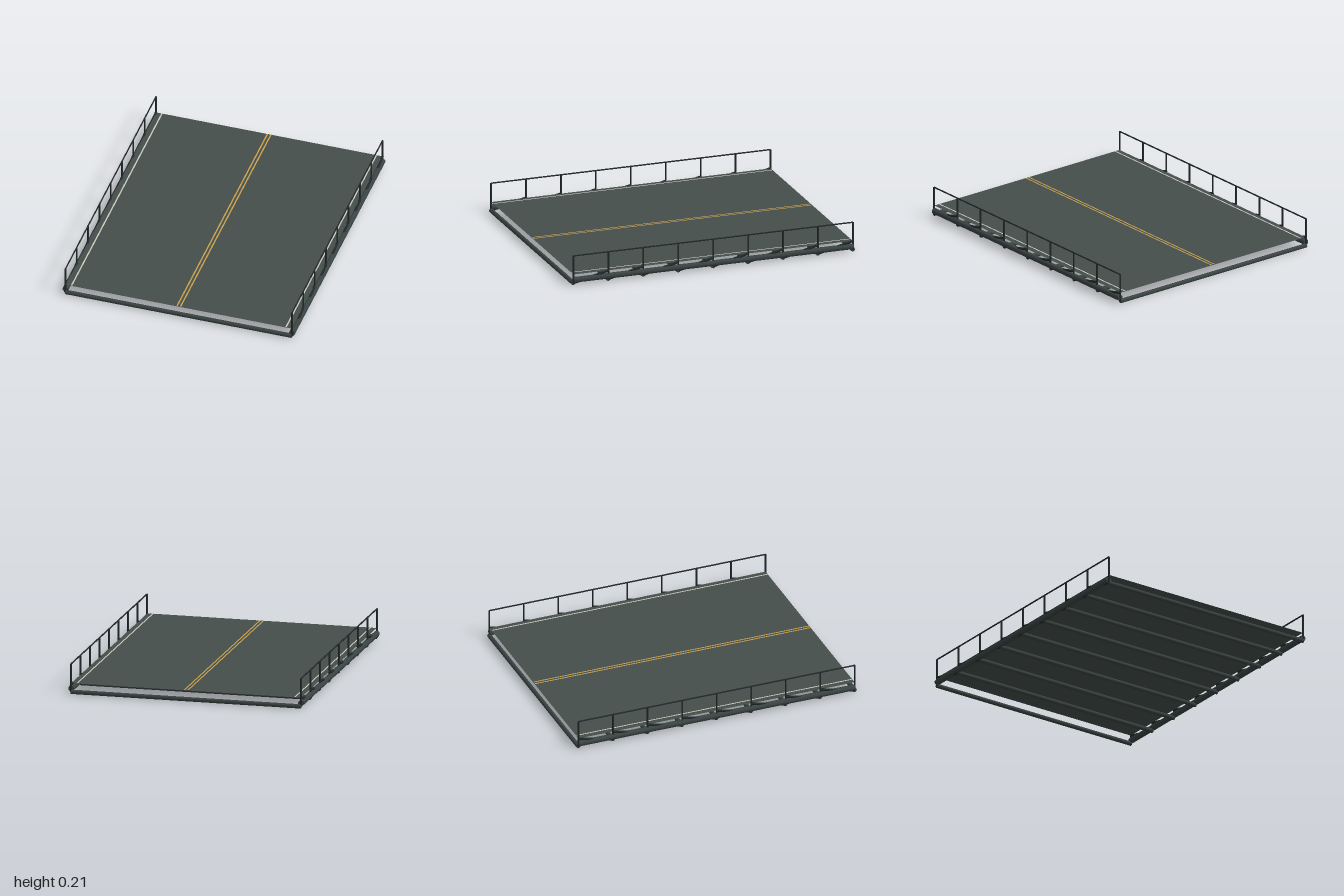
import * as THREE from 'three';

const mat = (name, color, side = THREE.FrontSide) => {
  const m = new THREE.MeshStandardMaterial({ color, side });
  m.name = name;
  return m;
};

export function createModel() {
  const asphalt = mat('asphalt', 0x454e4c, THREE.DoubleSide);
  const steel = mat('steel', 0x3a4442);
  const darkSteel = mat('dark steel', 0x22292b);
  const white = mat('white paint', 0xc8c8ba, THREE.DoubleSide);
  const yellow = mat('yellow paint', 0xc9a04a, THREE.DoubleSide);

  const model = new THREE.Group();
  model.name = 'bridgeDeck';
  const add = (name, geometry, material, x = 0, y = 0, z = 0) => {
    const mesh = new THREE.Mesh(geometry, material);
    mesh.name = name;
    mesh.position.set(x, y, z);
    model.add(mesh);
    return mesh;
  };

  // Round bar between two points
  const up = new THREE.Vector3(0, 1, 0);
  const bar = (name, from, to, radius, material, sides = 8) => {
    const a = new THREE.Vector3(...from), b = new THREE.Vector3(...to);
    const dir = b.clone().sub(a);
    const mesh = add(name, new THREE.CylinderGeometry(radius, radius, dir.length(), sides), material);
    mesh.position.copy(a).add(b).multiplyScalar(0.5);
    mesh.quaternion.setFromUnitVectors(up, dir.normalize());
    return mesh;
  };

  const deckY = 0.074, halfZ = 0.986, sideX = 0.787, bays = 8;
  const step = (2 * halfZ) / bays;

  // Thin road sheet and its painted lines
  const sheet = (w, l) => new THREE.PlaneGeometry(w, l).rotateX(-Math.PI / 2);
  add('roadSurface', sheet(1.57, 2 * halfZ), asphalt, 0, deckY, 0);
  for (const s of [-1, 1]) {
    add('edgeLine', sheet(0.01, 1.965), white, s * 0.745, deckY + 0.002, 0);
    add('centreLine', sheet(0.01, 1.965), yellow, s * 0.012, deckY + 0.002, 0);
  }

  // Cross beams under the road
  for (let i = 0; i <= bays; i++) {
    const z = halfZ - i * step;
    bar('crossBeam', [-sideX, 0.015, z], [sideX, 0.015, z], 0.015, steel);
  }

  // Both sides: main tube, railing and sloping braces
  for (const s of [-1, 1]) {
    const x = s * sideX;
    bar('sideTube', [x, 0.037, -halfZ], [x, 0.037, halfZ], 0.02, steel, 10);
    bar('handrail', [x, 0.205, -halfZ], [x, 0.205, halfZ], 0.005, darkSteel);
    for (let i = 0; i <= bays; i++) {
      const z = halfZ - i * step;
      bar('railPost', [x, 0.015, z], [x, 0.205, z], 0.006, darkSteel);
      if (i < bays) bar('brace', [x, 0.015, z], [x, 0.074, z - step], 0.009, darkSteel);
    }
  }

  return model;
}
